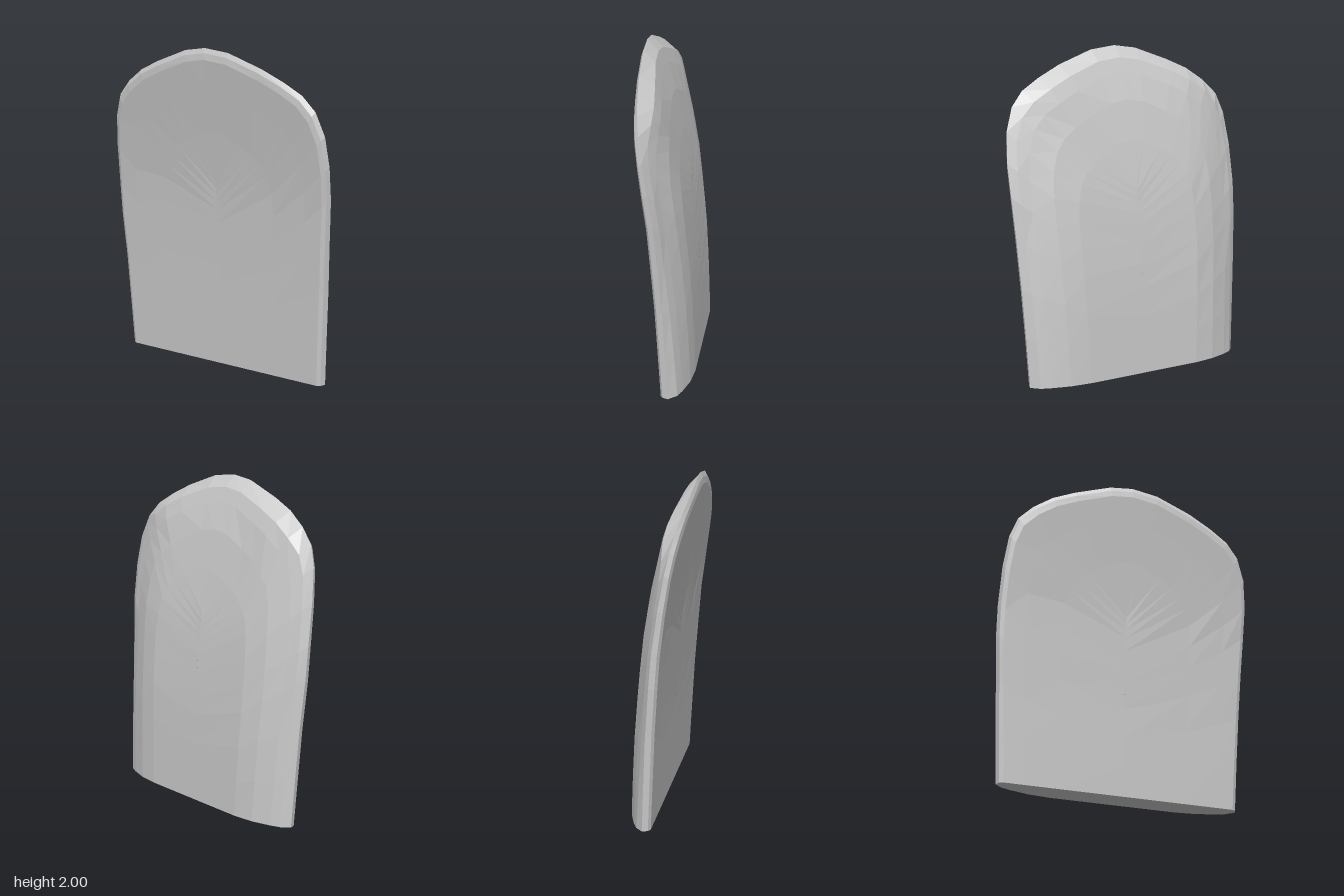
import * as THREE from 'three';

// Linear lookup of x at height y in a list of [y, x]
function lookup(curve, y) {
  for (let i = 1; i < curve.length; i++) {
    const [y0, x0] = curve[i - 1], [y1, x1] = curve[i];
    if (y <= y1) return THREE.MathUtils.lerp(x0, x1, (y - y0) / (y1 - y0));
  }
  return curve[curve.length - 1][1];
}

// Centreline profiles of the flat face and the bulging face
const flatFace = [[0, 0.01], [0.6, -0.02], [1.15, -0.06], [1.5, -0.11], [1.92, -0.18], [2, -0.185]];
const bulgeFace = [[0, 0.18], [0.3, 0.17], [0.6, 0.155], [0.9, 0.128], [1.16, 0.097], [1.4, 0.052], [1.7, -0.015], [1.93, -0.1], [2, -0.12]];

// Rim outline [z, y] from one lower corner over the arched top to the other
const outline = [
  [0.74, 0], [0.755, 0.3], [0.772, 0.6], [0.79, 0.9], [0.808, 1.15], [0.815, 1.35], [0.8, 1.53],
  [0.75, 1.67], [0.67, 1.76], [0.55, 1.83], [0.4, 1.9], [0.17, 1.98], [0, 2], [-0.15, 1.98],
  [-0.38, 1.9], [-0.52, 1.84], [-0.64, 1.76], [-0.73, 1.67], [-0.775, 1.55], [-0.8, 1.35],
  [-0.81, 1.1], [-0.808, 0.9], [-0.79, 0.6], [-0.775, 0.3], [-0.76, 0],
];

// Nested rings [z scale, y scale, depth]; without a depth the ring lies on the bulge
const rings = [
  [0, 0.6, 0], [0.52, 0.75, 0], [0.8, 0.88, 0], [0.955, 0.965, 0], [0.985, 0.985, 0.08], [1, 1, 0.28],
  [0.94, 0.965], [0.86, 0.92], [0.7, 0.84], [0.52, 0.72], [0, 0.6],
];

function bulgeDepth(z) {
  const t = Math.max(0, (Math.abs(z) - 0.38) / 0.36);
  return 1 - 0.55 * Math.min(1, t * t);
}

function createShell() {
  const positions = [], index = [], n = outline.length;
  for (const [sz, sy, depth] of rings) {
    for (const [oz, oy] of outline) {
      const z = oz * sz, y = oy * sy;
      const d = depth ?? bulgeDepth(z);
      positions.push(THREE.MathUtils.lerp(lookup(flatFace, y), lookup(bulgeFace, y), d), y, z);
    }
  }
  for (let k = 0; k < rings.length - 1; k++) {
    const r = k * n, s = r + n;
    for (let i = 0; i < n - 1; i++) {
      index.push(r + i, s + i, s + i + 1, r + i, s + i + 1, r + i + 1);
    }
    // Flat underside between the two ends of each ring
    index.push(r, r + n - 1, s + n - 1, r, s + n - 1, s);
  }
  const geometry = new THREE.BufferGeometry();
  geometry.setAttribute('position', new THREE.Float32BufferAttribute(positions, 3));
  geometry.setIndex(index);
  geometry.computeVertexNormals();
  return geometry;
}

export function createModel() {
  const group = new THREE.Group();
  group.name = 'curvedPanel';
  const panel = new THREE.Mesh(
    createShell(),
    new THREE.MeshStandardMaterial({ color: 0xcccccc, flatShading: true }),
  );
  panel.name = 'panelShell';
  group.add(panel);
  return group;
}
